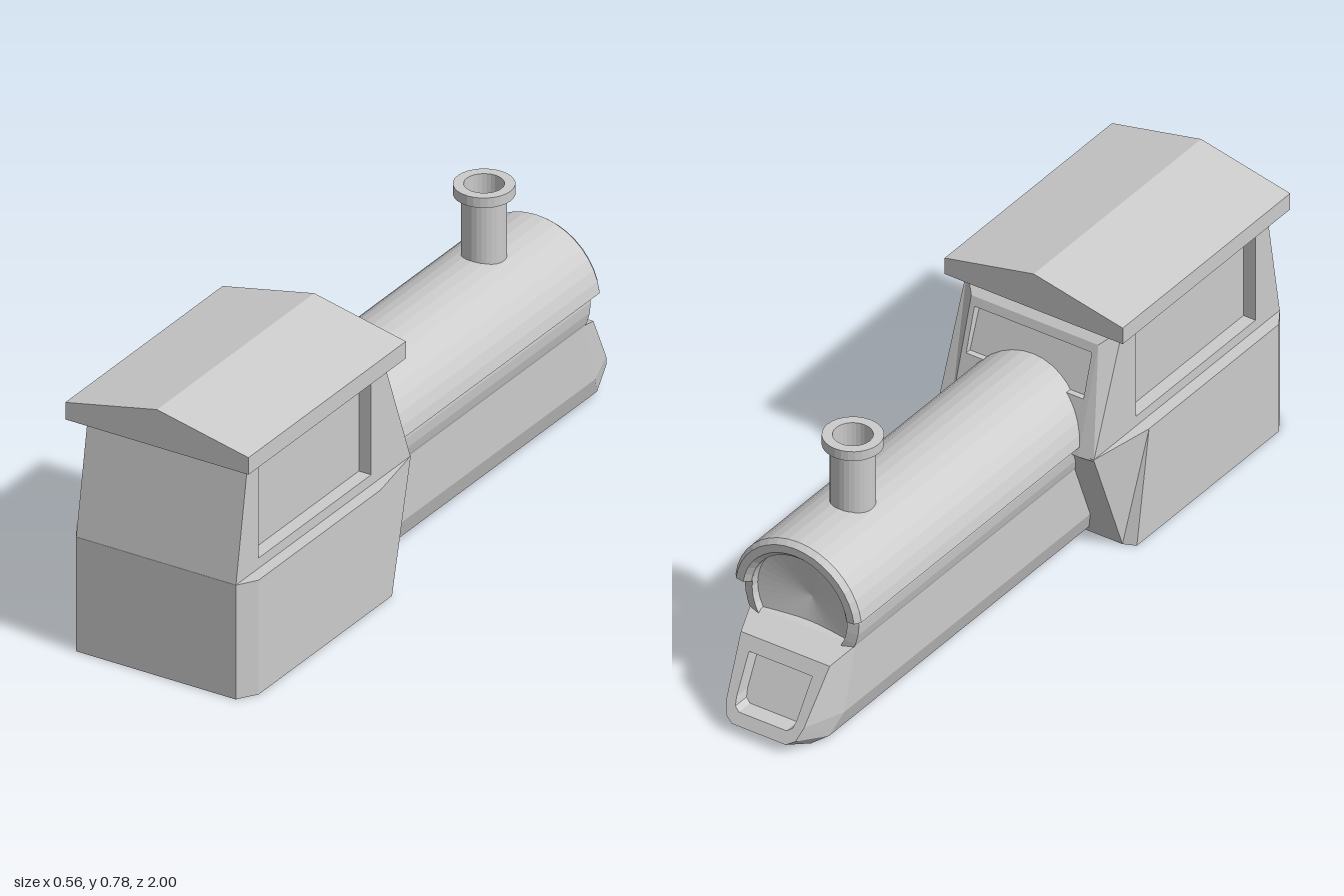
import * as THREE from 'three';

const mat = new THREE.MeshStandardMaterial({ color: 0xcccccc, flatShading: true, side: THREE.DoubleSide });

function part(name, geometry, parent) {
  const m = new THREE.Mesh(geometry, mat);
  m.name = name;
  parent.add(m);
  return m;
}

// Mirror a half cross-section [x, y, z] across x = 0 into a closed ring
const mirrorRing = half => [...half, ...half.map(([x, y, z]) => [-x, y, z]).reverse()];

// Skin consecutive rings with quads and cap both ends
function loft(rings) {
  const pos = [];
  const tri = (a, b, c) => pos.push(...a, ...b, ...c);
  for (let r = 0; r + 1 < rings.length; r++) {
    const a = rings[r], b = rings[r + 1], n = a.length;
    for (let i = 0; i < n; i++) {
      const j = (i + 1) % n;
      tri(a[i], a[j], b[j]);
      tri(a[i], b[j], b[i]);
    }
  }
  const first = rings[0], last = rings[rings.length - 1];
  for (let i = 1; i + 1 < first.length; i++) {
    tri(first[0], first[i + 1], first[i]);
    tri(last[0], last[i], last[i + 1]);
  }
  const g = new THREE.BufferGeometry();
  g.setAttribute('position', new THREE.Float32BufferAttribute(pos, 3));
  g.computeVertexNormals();
  return g;
}

const vec = pts => pts.map(([x, y]) => new THREE.Vector2(x, y));
const extrude = (shape, depth) => new THREE.ExtrudeGeometry(shape, { depth, bevelEnabled: false });

// Extrude a (z, y) side profile along x from x0 to x1
function sideExtrude(shape, x0, x1) {
  return extrude(shape, x1 - x0).rotateY(-Math.PI / 2).translate(x1, 0, 0);
}

function buildCab() {
  const cab = new THREE.Group();
  cab.name = 'cab';

  // Lower body with cut corners and an undercut front
  part('cabBase', loft([
    mirrorRing([[0.245, 0, 1], [0.28, 0, 0.945], [0.28, 0, 0.305], [0.245, 0, 0.29]]),
    mirrorRing([[0.245, 0.335, 1], [0.28, 0.335, 0.945], [0.28, 0.335, 0.36], [0.245, 0.335, 0.16]]),
  ]), cab);

  // Inner block behind the windows
  const core = new THREE.Shape(vec([[1, 0.33], [0.942, 0.67], [0.33, 0.67], [0.2, 0.33]]));
  part('cabCore', sideExtrude(core, -0.207, 0.207), cab);

  // Side walls with window openings
  const wall = new THREE.Shape(vec([[1, 0.33], [0.942, 0.67], [0.29, 0.67], [0.16, 0.33]]));
  wall.holes.push(new THREE.Path(vec([[0.35, 0.365], [0.35, 0.64], [0.89, 0.64], [0.89, 0.365]])));
  part('leftWall', sideExtrude(wall, 0.205, 0.245), cab);
  part('rightWall', sideExtrude(wall, -0.245, -0.205), cab);

  // Chamfered, sloping front wall with a recessed window
  const slope = y => 0.155 + (y - 0.33) * 0.3;
  const frame = (x, top, bottom, dz) =>
    mirrorRing([[x, top, slope(top) + dz], [x, bottom, slope(bottom) + dz]]);
  part('frontWall', loft([
    mirrorRing([[0.245, 0.67, 0.29], [0.245, 0.33, 0.16]]),
    frame(0.2, 0.63, 0.33, 0),
    frame(0.185, 0.605, 0.48, 0),
    frame(0.185, 0.605, 0.48, 0.04),
  ]), cab);

  // Gabled roof
  const gable = new THREE.Shape(vec([[-0.281, 0.667], [0.281, 0.667], [0.281, 0.717], [0, 0.777], [-0.281, 0.717]]));
  part('roof', extrude(gable, 0.755).translate(0, 0, 0.24), cab);
  return cab;
}

function buildBoiler() {
  const boiler = new THREE.Group();
  boiler.name = 'boiler';
  boiler.position.y = 0.33;
  boiler.rotation.x = -Math.PI / 2; // lathe axis points to -z, phi = 0 points up

  // Inner drum with a dished end
  part('drum', new THREE.LatheGeometry(vec([
    [0, -0.3], [0.18, -0.3], [0.18, 0.805], [0.15, 0.815], [0.15, 0.79], [0, 0.76],
  ]), 36), boiler);

  // Upper jacket, its rim standing proud of the drum
  const profile = vec([
    [0.15, -0.3], [0.2, -0.3], [0.2, 0.82], [0.188, 0.836], [0.165, 0.836], [0.15, 0.82], [0.15, -0.3],
  ]);
  const half = Math.PI / 2 - 0.13;
  part('jacket', new THREE.LatheGeometry(profile, 18, -half, half * 2), boiler);
  for (const phi of [-half, half]) {
    part('jacketEdge', new THREE.ShapeGeometry(new THREE.Shape(profile.slice(0, -1))).rotateY(phi - Math.PI / 2), boiler);
  }
  return boiler;
}

export function createModel() {
  const model = new THREE.Group();
  model.name = 'steamEngine';
  model.add(buildCab(), buildBoiler());

  // Lower tank, ending in a sloping nose with a recessed panel
  const noseZ = y => -0.88 - (0.23 - y) * 0.6;
  const noseRing = (pts, dz) => mirrorRing(pts.map(([x, y]) => [x, y, noseZ(y) + dz]));
  const panel = [[0.1, 0.195], [0.095, 0.09], [0.09, 0.07], [0.075, 0.06]];
  part('tank', loft([
    mirrorRing([[0.165, 0.26, 0.4], [0.165, 0.08, 0.4], [0.145, 0.02, 0.4], [0.11, 0, 0.4]]),
    mirrorRing([[0.165, 0.26, -0.8], [0.165, 0.08, -0.85], [0.145, 0.02, -0.89], [0.11, 0, -0.92]]),
    noseRing([[0.14, 0.23], [0.122, 0.08], [0.11, 0.045], [0.085, 0.03]], 0),
    noseRing(panel, 0),
    noseRing(panel, 0.05),
  ]), model);

  // Chimney with a flared rim and open bore
  part('chimney', new THREE.LatheGeometry(vec([
    [0.06, 0.48], [0.06, 0.702], [0.081, 0.702], [0.081, 0.731], [0.053, 0.731], [0.053, 0.56], [0, 0.56],
  ]), 28), model).position.z = -0.575;

  return model;
}
